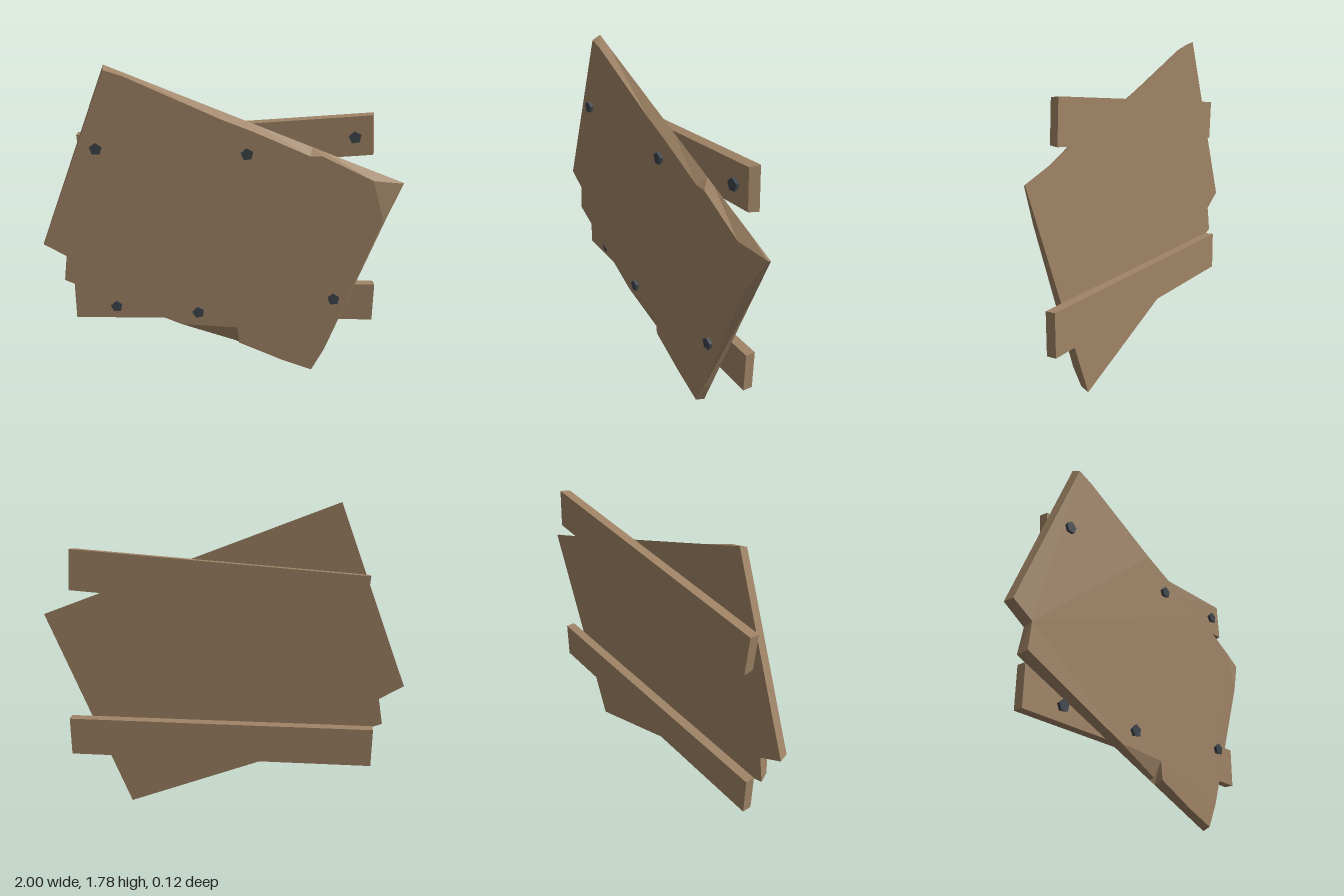
import * as THREE from 'three';

const BACK = -0.009, FRONT = 0.041;

// Back outline of the board, counter-clockwise seen from the front
const corners = [
  [-0.61, 1.79], [-1, 0.8], [-0.87, 0.72], [-0.898, 0.57], [0.545, 0.005], [0.995, 1.16],
];

// Worn front outline, one list per back edge: [x, y, z?]; a given z marks a chipped point
const edges = [
  [[-0.605, 1.768]],
  [[-0.988, 0.808]],
  [[-0.866, 0.738]],
  [[-0.88, 0.588], [-0.225, 0.315], [0.067, 0.205, 0.015], [0.096, 0.297], [0.11, 0.196], [0.353, 0.088]],
  [[0.535, 0.02], [0.605, 0.16], [0.888, 0.96]],
  [[0.99, 1.16, 0.002], [0.82, 1.185], [0.54, 1.32], [0.475, 1.32], [0.18, 1.447], [0, 1.516], [-0.51, 1.74]],
];

function boardGeometry() {
  const front = [], back = [], chipped = [];
  edges.forEach((points, e) => {
    const a = new THREE.Vector2(...corners[e]);
    const d = new THREE.Vector2(...corners[(e + 1) % corners.length]).sub(a);
    points.forEach(([x, y, z], i) => {
      // Each front point meets the nearest spot on the straight back edge
      const t = i === 0 ? 0 : new THREE.Vector2(x, y).sub(a).dot(d) / d.lengthSq();
      front.push(new THREE.Vector3(x, y, z ?? FRONT));
      back.push(new THREE.Vector3(a.x + d.x * t, a.y + d.y * t, BACK));
      chipped.push(z !== undefined);
    });
  });

  const out = [];
  const tri = (a, b, c) => [a, b, c].forEach((p) => out.push(p.x, p.y, p.z));
  // Flat cap, turned to face +z or -z whatever the triangulation order
  const cap = (pts, side) => {
    for (const [i, j, k] of THREE.ShapeUtils.triangulateShape(pts.map((p) => new THREE.Vector2(p.x, p.y)), [])) {
      const [a, b, c] = [pts[i], pts[j], pts[k]];
      const area = (b.x - a.x) * (c.y - a.y) - (b.y - a.y) * (c.x - a.x);
      if (area * side > 0) tri(a, b, c); else tri(a, c, b);
    }
  };
  cap(front.filter((_, i) => !chipped[i]), 1);
  cap(corners.map(([x, y]) => new THREE.Vector3(x, y, BACK)), -1);

  const n = front.length;
  for (let i = 0; i < n; i++) {
    const j = (i + 1) % n;
    tri(front[i], back[i], back[j]);
    tri(front[i], back[j], front[j]);
    if (chipped[i]) tri(front[(i + n - 1) % n], front[i], front[j]);
  }
  const g = new THREE.BufferGeometry();
  g.setAttribute('position', new THREE.Float32BufferAttribute(out, 3));
  g.computeVertexNormals();
  return g;
}

export function createModel() {
  const model = new THREE.Group();
  const wood = new THREE.MeshStandardMaterial({ name: 'wood', color: 0xa08466 });
  const iron = new THREE.MeshStandardMaterial({ name: 'dark iron', color: 0x3d444b });

  const add = (name, geometry, material, x, y, z) => {
    const m = new THREE.Mesh(geometry, material);
    m.name = name;
    m.position.set(x, y, z);
    model.add(m);
    return m;
  };

  add('board', boardGeometry(), wood, 0, 0, 0);

  // Rear battens
  const depth = 0.053, battenZ = BACK - depth / 2;
  add('lowerBatten', new THREE.BoxGeometry(1.723, 0.223, depth), wood, 0.017, 0.4415, battenZ);

  // Upper batten is tilted, its front face slightly smaller
  const upper = new THREE.BoxGeometry(1.592, 0.224, depth);
  const p = upper.attributes.position;
  for (let i = 0; i < p.count; i++) {
    if (p.getZ(i) < 0) continue;
    if (p.getX(i) > 0) p.setX(i, p.getX(i) - 0.015);
    p.setY(i, p.getY(i) - Math.sign(p.getY(i)) * 0.005);
  }
  upper.computeVertexNormals();
  add('upperBatten', upper, wood, 0.027, 1.368, battenZ).rotation.z = 0.0715;

  // Five-sided nail heads: x, y, base height, turn
  const nail = new THREE.CylinderGeometry(0.035, 0.028, 0.024, 5).toNonIndexed();
  nail.computeVertexNormals();
  nail.rotateX(Math.PI / 2);
  const nails = [
    [-0.663, 1.358, FRONT, 0], [0.139, 1.334, FRONT, 0.1], [0.711, 1.415, BACK, 0.15],
    [-0.604, 0.41, BACK, 0.1], [-0.128, 0.4, FRONT, 0.2], [0.64, 0.49, FRONT, 0.1],
  ];
  for (const [x, y, base, turn] of nails) {
    // Half a turn puts a corner at the top
    add('nail', nail, iron, x, y, base + 0.009).rotation.z = Math.PI + turn;
  }
  return model;
}
